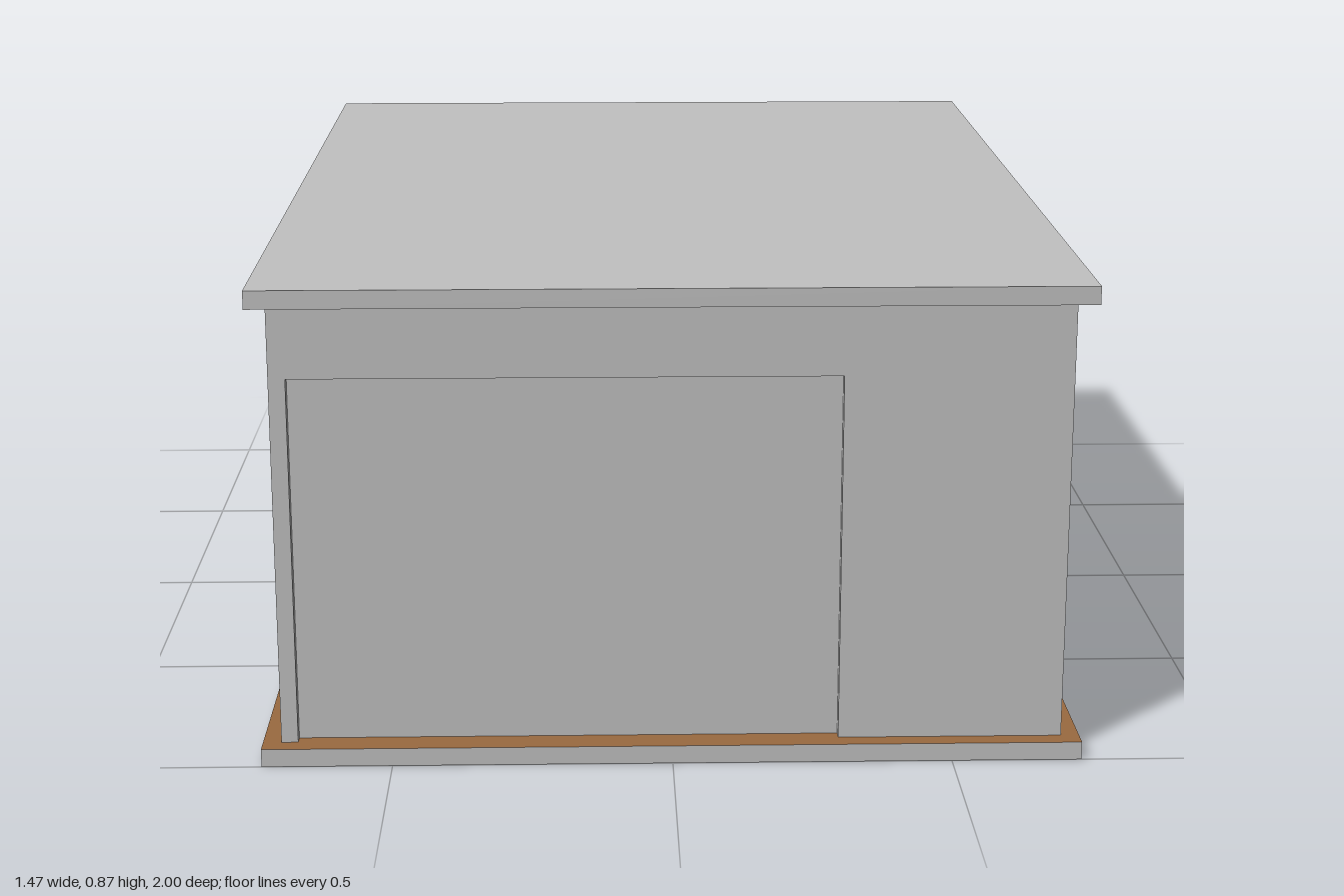
import * as THREE from 'three';

const grey = new THREE.MeshStandardMaterial({ color: 0xc0c0c0 });
grey.name = 'concrete grey';
const brown = new THREE.MeshStandardMaterial({ color: 0x9a6a40 });
brown.name = 'floor brown';

const HX = 0.7, HZ = 0.967; // outer wall half sizes
const Y0 = 0.033, Y1 = 0.837; // wall bottom and top
const T = 0.06; // wall thickness

// Box given by its minimum and maximum corners
function block(name, [x0, y0, z0], [x1, y1, z1], material = grey) {
  const mesh = new THREE.Mesh(new THREE.BoxGeometry(x1 - x0, y1 - y0, z1 - z0), material);
  mesh.position.set((x0 + x1) / 2, (y0 + y1) / 2, (z0 + z1) / 2);
  mesh.name = name;
  return mesh;
}

function rectangle(path, u0, v0, u1, v1) {
  return path.moveTo(u0, v0).lineTo(u1, v0).lineTo(u1, v1).lineTo(u0, v1).closePath();
}

function extrude(name, shape, depth) {
  const mesh = new THREE.Mesh(new THREE.ExtrudeGeometry(shape, { depth, bevelEnabled: false }), grey);
  mesh.name = name;
  return mesh;
}

export function createModel() {
  const model = new THREE.Group();
  model.name = 'garage';

  // Base slab with a brown top face, and the flat roof
  model.add(block('baseSlab', [-0.733, 0, -1], [0.733, Y0, 1], [grey, grey, brown, grey, grey, grey]));
  model.add(block('roof', [-0.733, Y1, -1], [0.733, 0.87, 1]));

  // Plain back and right-hand walls
  model.add(block('backWall', [-HX, Y0, -HZ], [HX, Y1, -HZ + T]));
  model.add(block('plainSideWall', [HX - T, Y0, -HZ + T], [HX, Y1, HZ - T]));

  // Front wall with the garage door opening cut up from the floor
  const D = { x0: -0.67, x1: 0.298, top: 0.705 };
  const front = new THREE.Shape();
  front.moveTo(-HX, Y0).lineTo(D.x0, Y0).lineTo(D.x0, D.top).lineTo(D.x1, D.top)
    .lineTo(D.x1, Y0).lineTo(HX, Y0).lineTo(HX, Y1).lineTo(-HX, Y1).closePath();
  const frontWall = extrude('frontWall', front, T);
  frontWall.position.z = HZ - T;
  model.add(frontWall);
  model.add(block('garageDoor', [D.x0, Y0, HZ - 0.05], [D.x1, D.top, HZ - 0.02]));

  // Side wall with the window opening; its local x runs along world z
  const W = { z0: -0.38, z1: 0.04, y0: 0.395, y1: 0.66 };
  const side = rectangle(new THREE.Shape(), -HZ + T, Y0, HZ - T, Y1);
  side.holes.push(rectangle(new THREE.Path(), W.z0, W.y0, W.z1, W.y1));
  const windowWall = extrude('windowWall', side, T);
  windowWall.rotation.y = -Math.PI / 2;
  windowWall.position.x = -HX + T;
  model.add(windowWall);

  // Recessed window frame with two lights, and the panes behind it
  const win = new THREE.Group();
  win.name = 'window';
  const F = 0.014, mid = (W.z0 + W.z1) / 2;
  const frameShape = rectangle(new THREE.Shape(), W.z0, W.y0, W.z1, W.y1);
  for (const [a, b] of [[W.z0 + F, mid - F], [mid + F, W.z1 - F]]) {
    frameShape.holes.push(rectangle(new THREE.Path(), a, W.y0 + F, b, W.y1 - F));
    win.add(block('windowPane', [-HX + 0.036, W.y0 + F, a], [-HX + 0.042, W.y1 - F, b]));
  }
  const frame = extrude('windowFrame', frameShape, 0.02);
  frame.rotation.y = -Math.PI / 2;
  frame.position.x = -HX + 0.045;
  win.add(frame);
  model.add(win);

  return model;
}
